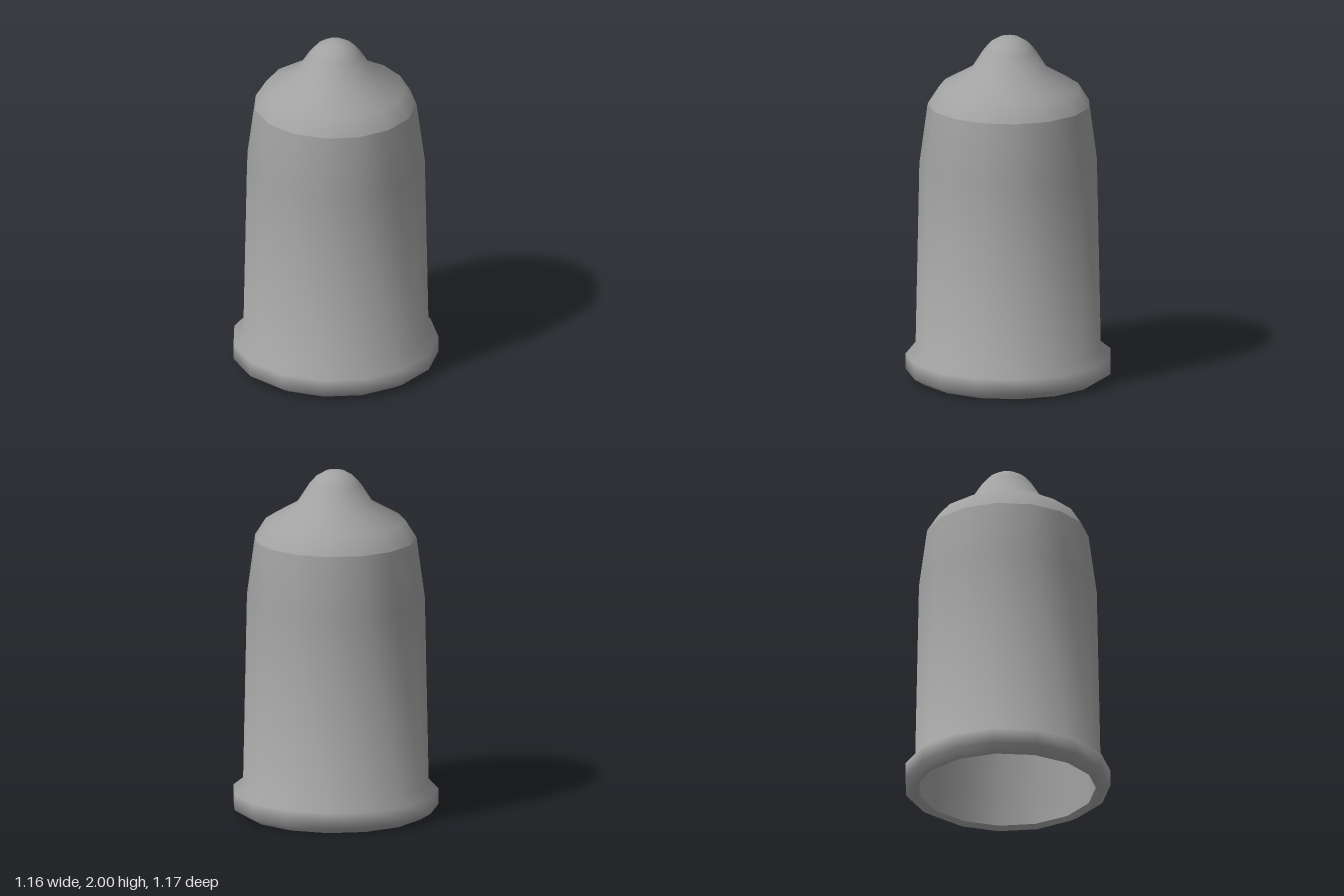
import * as THREE from 'three';

const SIDES = 15;

// Blend the profile's segment normals evenly at each point, upright on the axis
function softenNormals(geometry, points) {
  const segments = points.slice(1).map((p, i) =>
    new THREE.Vector2(p.y - points[i].y, points[i].x - p.x).normalize());
  const blended = points.map((p, i) => {
    const before = segments[Math.max(i - 1, 0)];
    const after = segments[Math.min(i, segments.length - 1)];
    const n = before.clone().add(after).normalize();
    return p.x === 0 ? new THREE.Vector2(0, Math.sign(n.y)) : n;
  });
  const normals = geometry.attributes.normal;
  for (let k = 0; k < normals.count; k++) {
    const n = blended[k % points.length];
    const angle = Math.PI / 2 + Math.floor(k / points.length) * 2 * Math.PI / SIDES;
    normals.setXYZ(k, n.x * Math.sin(angle), n.y, n.x * Math.cos(angle));
  }
}

export function createModel() {
  const group = new THREE.Group();
  const material = new THREE.MeshStandardMaterial({ color: 0xa2a2a2 });

  // Revolve a [radius, height] profile, with one corner on +x
  const addTurned = (name, profile) => {
    const points = profile.map(([r, y]) => new THREE.Vector2(r, y));
    const geometry = new THREE.LatheGeometry(points, SIDES, Math.PI / 2);
    softenNormals(geometry, points);
    const mesh = new THREE.Mesh(geometry, material);
    mesh.name = name;
    mesh.position.x = -0.006; // odd-sided ring: centre its extents
    group.add(mesh);
  };

  // Rolled collar running smoothly into the tapered wall
  addTurned('collarAndWall', [
    [0.525, 0], [0.588, 0.04], [0.588, 0.13], [0.532, 0.175],
    [0.51, 1.25], [0.463, 1.6],
  ]);

  // Shoulder dome ending in a rounded tip, with a crease where it meets the wall
  addTurned('domeAndTip', [
    [0.463, 1.6], [0.4, 1.7], [0.218, 1.805], [0.148, 1.915],
    [0.108, 1.96], [0.056, 1.99], [0, 2],
  ]);

  // Narrow bevelled lip around the open bottom
  addTurned('bottomLip', [[0.505, 0.025], [0.525, 0]]);

  // Hollow interior, listed from top to bottom so it faces inward
  addTurned('innerWall', [
    [0, 1.98], [0.05, 1.97], [0.095, 1.945], [0.132, 1.905], [0.205, 1.79],
    [0.385, 1.685], [0.445, 1.595], [0.491, 1.25], [0.507, 0.175], [0.505, 0.025],
  ]);

  return group;
}
